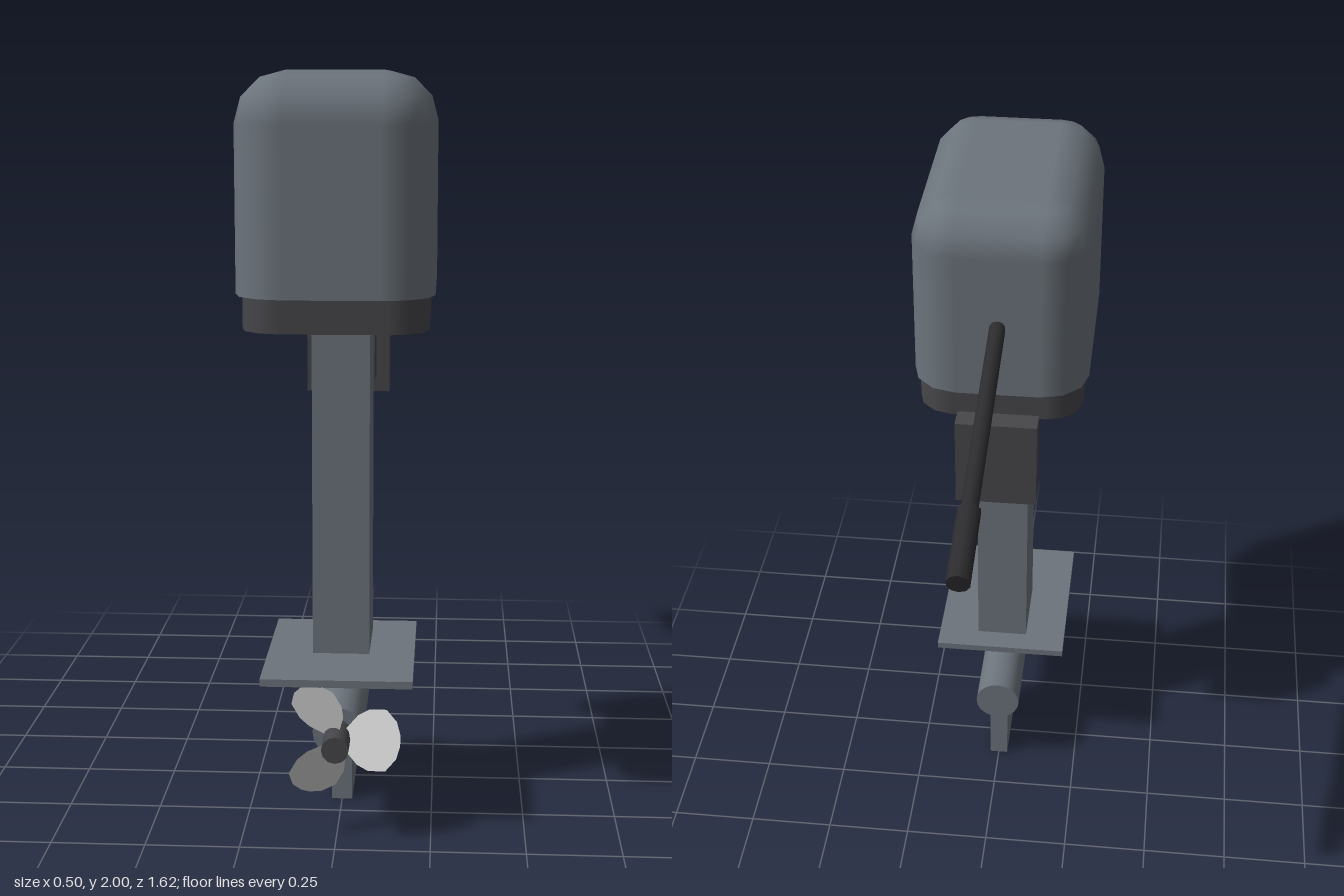
import * as THREE from 'three';

const material = (name, color, extra = {}) => {
  const m = new THREE.MeshStandardMaterial({ color, ...extra });
  m.name = name;
  return m;
};

// Block with rounded upright edges; topRound > 0 also rounds the upper rim.
function roundedBlock(w, h, d, radius, topRound, steps = 3) {
  const pos = [], nor = [], idx = [];
  const n = 4 * (steps + 1);
  const ring = (y, inset, normal) => {
    for (let c = 0; c < 4; c++) {
      const sx = c === 0 || c === 3 ? 1 : -1, sz = c < 2 ? 1 : -1;
      for (let s = 0; s <= steps; s++) {
        const a = (c + s / steps) * Math.PI / 2, r = radius - inset;
        pos.push(sx * (w / 2 - radius) + r * Math.cos(a), y, sz * (d / 2 - radius) + r * Math.sin(a));
        nor.push(Math.cos(a) * normal[0], normal[1], Math.sin(a) * normal[0]);
      }
    }
  };
  const cap = (start, up) => {
    for (let i = 1; i < n - 1; i++) {
      idx.push(start, start + (up ? i + 1 : i), start + (up ? i : i + 1));
    }
  };
  // side wall, then the curved rim
  ring(0, 0, [1, 0]);
  const rim = topRound > 0 ? steps : 0;
  for (let k = 0; k <= rim; k++) {
    const p = rim ? (k / rim) * Math.PI / 2 : 0;
    ring(h - topRound * (1 - Math.sin(p)), topRound * (1 - Math.cos(p)), [Math.cos(p), Math.sin(p)]);
  }
  for (let k = 0; k <= rim; k++) {
    for (let i = 0; i < n; i++) {
      const a = k * n + i, b = k * n + (i + 1) % n;
      idx.push(a, a + n, b, b, a + n, b + n);
    }
  }
  // flat ends
  const base = (rim + 2) * n;
  ring(0, 0, [0, -1]);
  cap(base, false);
  ring(h, topRound, [0, 1]);
  cap(base + n, true);
  const g = new THREE.BufferGeometry();
  g.setAttribute('position', new THREE.Float32BufferAttribute(pos, 3));
  g.setAttribute('normal', new THREE.Float32BufferAttribute(nor, 3));
  g.setIndex(idx);
  return g;
}

export function createModel() {
  const group = new THREE.Group();
  group.name = 'outboardMotor';

  const grey = material('paintedGrey', 0x6c747c);
  const dark = material('darkMetal', 0x47474b);
  const black = material('blackRubber', 0x2c2c2e);
  const steel = material('propellerSteel', 0xd0d0d0, { side: THREE.DoubleSide });

  const add = (name, geometry, mat, x = 0, y = 0, z = 0, parent = group) => {
    const mesh = new THREE.Mesh(geometry, mat);
    mesh.name = name;
    mesh.position.set(x, y, z);
    parent.add(mesh);
    return mesh;
  };
  // box given by half width and its y and z ranges
  const box = (name, mat, hx, y0, y1, z0, z1) =>
    add(name, new THREE.BoxGeometry(hx * 2, y1 - y0, z1 - z0), mat, 0, (y0 + y1) / 2, (z0 + z1) / 2);
  // cylinder between two points in the x = 0 plane
  const rod = (name, mat, r, sides, y0, z0, y1, z1) => {
    const dir = new THREE.Vector3(0, y1 - y0, z1 - z0);
    const mesh = add(name, new THREE.CylinderGeometry(r, r, dir.length(), sides), mat, 0, (y0 + y1) / 2, (z0 + z1) / 2);
    mesh.quaternion.setFromUnitVectors(new THREE.Vector3(0, 1, 0), dir.normalize());
    return mesh;
  };

  // Engine cover and the pan beneath it
  add('engineCover', roundedBlock(0.5, 0.55, 0.735, 0.131, 0.13), grey, 0, 1.45, 0.443);
  add('enginePan', roundedBlock(0.47, 0.09, 0.66, 0.1, 0), dark, 0, 1.36, 0.433);

  // Leg, plate and fin
  box('leg', grey, 0.077, 0.44, 1.36, 0.235, 0.465);
  box('cavitationPlate', grey, 0.2, 0.42, 0.44, 0.163, 0.685);
  box('skeg', grey, 0.028, 0, 0.23, 0.14, 0.42);

  // Transom bracket
  box('clampPlate', dark, 0.117, 1.105, 1.37, 0.037, 0.115);
  box('clampMount', dark, 0.08, 1.155, 1.36, 0.115, 0.235);

  // Gearcase and hub
  rod('gearcase', grey, 0.068, 20, 0.267, 0.097, 0.267, 0.605);
  rod('propellerHub', dark, 0.036, 12, 0.267, 0.6, 0.267, 0.735);

  // Three pitched blades
  const half = [[0.02, 0.025], [0.055, 0.066], [0.085, 0.082], [0.13, 0.082], [0.158, 0.05], [0.168, 0.015]];
  const outline = [...half, ...half.map(([x, y]) => [x, -y]).reverse()];
  const blade = new THREE.ShapeGeometry(new THREE.Shape(outline.map(([x, y]) => new THREE.Vector2(x, y))));
  blade.rotateX(-0.6);
  const propeller = new THREE.Group();
  propeller.name = 'propeller';
  propeller.position.set(0, 0.267, 0.655);
  group.add(propeller);
  for (let i = 0; i < 3; i++) {
    add('propellerBlade', blade, steel, 0, 0, 0, propeller).rotation.z = i * Math.PI * 2 / 3;
  }

  // Steering tiller with its grip
  rod('tillerArm', black, 0.023, 10, 1.68, 0.15, 1.522, -0.6);
  rod('tillerGrip', black, 0.031, 10, 1.525, -0.575, 1.474, -0.804);

  return group;
}
